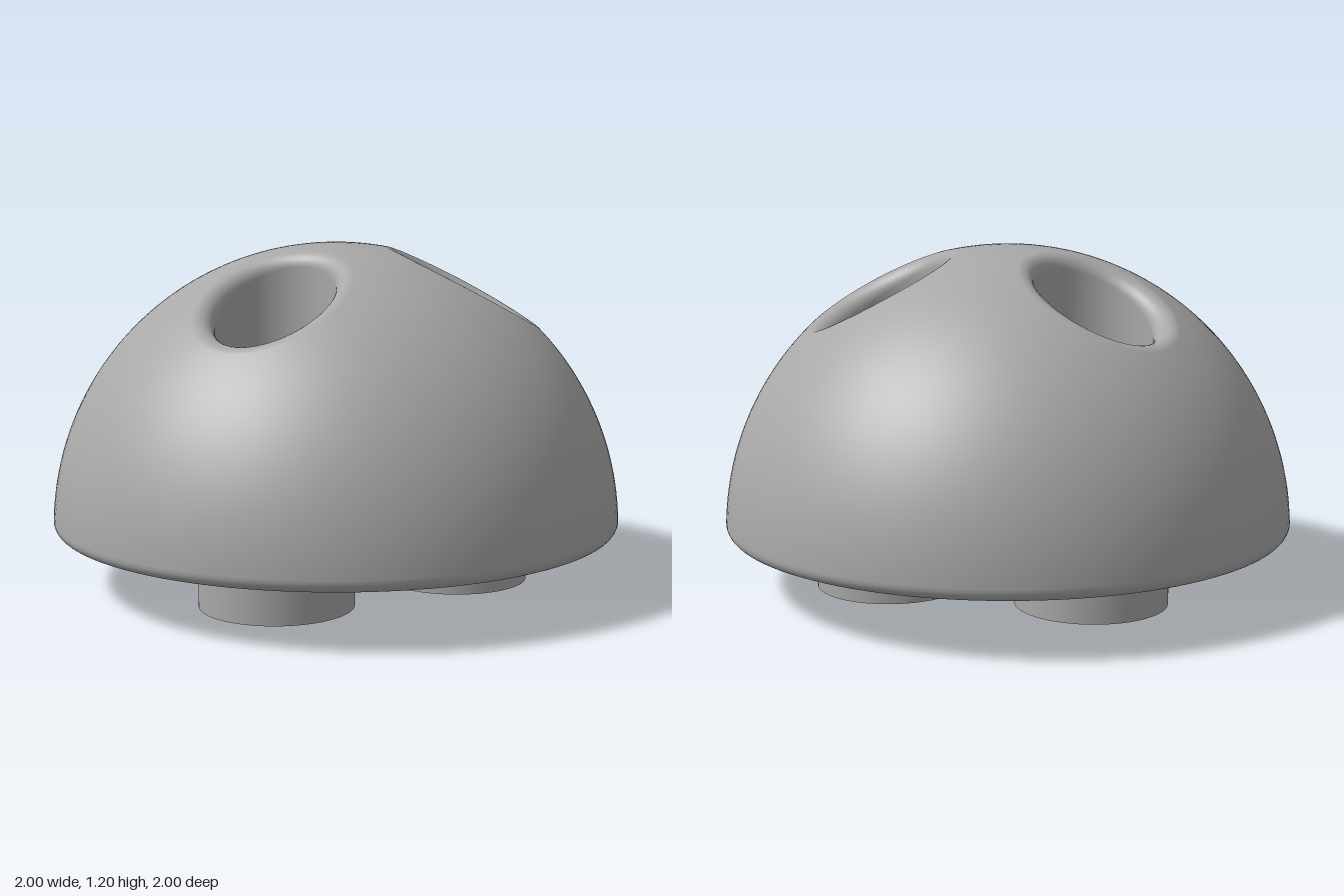
import * as THREE from 'three';

const BASE = 0.2;        // height of the dome's rim plane
const OUTER = 1, INNER = 0.947;
const BORE = 0.2, TUBE = 0.265, FLOOR = 0.06;
const FILLET = 0.055, RIM = 0.04;

// each socket: axis position and the start of its 120 degree share of the dome
const SOCKETS = [
  { name: 'front', x: 0, z: 0.43, start: Math.PI / 6 },
  { name: 'right', x: -0.367, z: -0.202, start: Math.PI * 5 / 6 },
  { name: 'left', x: 0.367, z: -0.202, start: -Math.PI / 2 },
];

const V = (x, y, z) => new THREE.Vector3(x, y, z);

// surface through rows of { p, n } (position and normal)
function grid(rows, flip = false) {
  const pos = [], nor = [], idx = [], w = rows[0].length;
  rows.forEach((row, i) => row.forEach(({ p, n }, j) => {
    pos.push(p.x, p.y, p.z);
    nor.push(n.x, n.y, n.z);
    if (i === rows.length - 1 || j === w - 1) return;
    const a = i * w + j, b = a + w, c = a + 1, d = b + 1;
    if (flip) idx.push(a, c, b, b, c, d);
    else idx.push(a, b, c, c, b, d);
  }));
  const g = new THREE.BufferGeometry();
  g.setAttribute('position', new THREE.Float32BufferAttribute(pos, 3));
  g.setAttribute('normal', new THREE.Float32BufferAttribute(nor, 3));
  g.setIndex(idx);
  return g;
}

// unfold a dome direction to a flat disc and back
function flatten(d) {
  const t = Math.acos(Math.min(1, d.y)), r = Math.hypot(d.x, d.z) || 1;
  return new THREE.Vector2(t * d.x / r, t * d.z / r);
}
function fold(f) {
  const t = f.length(), k = t > 1e-9 ? Math.sin(t) / t : 1;
  return V(f.x * k, Math.cos(t), f.y * k);
}

// outline of one third of the dome in flat coordinates
function wedge(start, tMax, n = 40) {
  const pts = [], polar = (t, a) => pts.push(new THREE.Vector2(t * Math.cos(a), t * Math.sin(a)));
  const end = start + Math.PI * 2 / 3;
  for (let i = 0; i < n; i++) polar(tMax * i / n, start);
  for (let i = 0; i < n; i++) polar(tMax, start + (end - start) * i / n);
  for (let i = n; i >= 0; i--) polar(tMax * i / n, end);
  return pts;
}

// rows of dome surface running from the wedge outline in to the socket's edge
function domeRows(s, R, tMax, edge, sign) {
  const outline = wedge(s.start, tMax);
  const mid = flatten(V(s.x, Math.sqrt(1 - s.x ** 2 - s.z ** 2), s.z));
  const angles = outline.map(b => Math.atan2(b.y - mid.y, b.x - mid.x));
  const rims = angles.map(a => flatten(edge(a)));
  const rows = [], N = 24;
  for (let i = 0; i <= N; i++) {
    rows.push(outline.map((b, j) => {
      const d = fold(b.clone().lerp(rims[j], i / N));
      return { p: d.clone().multiplyScalar(R).add(V(0, BASE, 0)), n: d.multiplyScalar(sign) };
    }));
  }
  return { rows, angles };
}

export function createModel() {
  const model = new THREE.Group();
  const grey = new THREE.MeshStandardMaterial({ color: 0xa8a8a8 });
  grey.name = 'grey plastic';
  const add = (parent, name, geo) => {
    const m = new THREE.Mesh(geo, grey);
    m.name = name;
    parent.add(m);
    return m;
  };

  for (const s of SOCKETS) {
    const group = new THREE.Group();
    group.name = s.name + 'Socket';
    model.add(group);

    // centre of the ball that rolls round the mouth and rounds it off
    const ball = a => {
      const x = s.x + (BORE + FILLET) * Math.cos(a), z = s.z + (BORE + FILLET) * Math.sin(a);
      return V(x, Math.sqrt((OUTER - FILLET) ** 2 - x * x - z * z), z);
    };

    // outer shell
    const tMax = Math.acos(RIM / (OUTER - RIM));
    const { rows, angles } = domeRows(s, OUTER, tMax, a => ball(a).normalize(), 1);
    add(group, 'outerShell', grid(rows));

    // rounded mouth
    const mouth = [];
    for (let i = 0; i <= 10; i++) {
      mouth.push(angles.map(a => {
        const c = ball(a), n0 = c.clone().normalize(), n1 = V(-Math.cos(a), 0, -Math.sin(a));
        const w = n0.angleTo(n1), t = i / 10;
        const n = n0.multiplyScalar(Math.sin((1 - t) * w)).addScaledVector(n1, Math.sin(t * w)).normalize();
        return { p: c.addScaledVector(n, FILLET).add(V(0, BASE, 0)), n };
      }));
    }
    add(group, 'roundedMouth', grid(mouth));

    // bore wall and floor
    const top = mouth[10];
    add(group, 'bore', grid([top, top.map(({ p, n }) => ({ p: V(p.x, FLOOR, p.z), n }))]));
    const floor = add(group, 'boreFloor', new THREE.CircleGeometry(BORE, 64).rotateX(-Math.PI / 2));
    floor.position.set(s.x, FLOOR, s.z);

    // inner shell, open where the tube meets it
    const tubeTop = a => {
      const x = s.x + TUBE * Math.cos(a), z = s.z + TUBE * Math.sin(a);
      return V(x, Math.sqrt(INNER ** 2 - x * x - z * z), z);
    };
    const inner = domeRows(s, INNER, Math.PI / 2, a => tubeTop(a).normalize(), -1);
    add(group, 'innerShell', grid(inner.rows, true));

    // tube hanging below the shell, with its closed end
    const wall = [1, 0].map(k => inner.angles.map(a => {
      const p = tubeTop(a);
      p.y = k * (p.y + BASE);
      return { p, n: V(Math.cos(a), 0, Math.sin(a)) };
    }));
    add(group, 'tube', grid(wall, true));
    const end = add(group, 'tubeEnd', new THREE.CircleGeometry(TUBE, 64).rotateX(Math.PI / 2));
    end.position.set(s.x, 0, s.z);
  }

  // rounded lower rim and its flat underside
  const rimR = Math.sqrt((OUTER - RIM) ** 2 - RIM ** 2);
  const rimTop = Math.asin(RIM / (OUTER - RIM));
  const arc = [];
  for (let i = 0; i <= 10; i++) {
    const a = -Math.PI / 2 + (Math.PI / 2 + rimTop) * i / 10;
    arc.push(new THREE.Vector2(rimR + RIM * Math.cos(a), BASE + RIM + RIM * Math.sin(a)));
  }
  add(model, 'roundedRim', new THREE.LatheGeometry(arc, 120));
  add(model, 'rimUnderside', new THREE.RingGeometry(INNER, rimR, 120).rotateX(Math.PI / 2)).position.y = BASE;

  // locking ridges inside the rim, each with a small stop
  const band = (from, to, r, y0, y1) => {
    const shape = new THREE.Shape();
    shape.absarc(0, 0, 0.945, from, to, false);
    shape.absarc(0, 0, r, to, from, true);
    return new THREE.ExtrudeGeometry(shape, { depth: y1 - y0, bevelEnabled: false, curveSegments: 24 })
      .rotateX(Math.PI / 2).translate(0, y1, 0);
  };
  const deg = Math.PI / 180;
  for (let i = 0; i < 3; i++) {
    const a = (49 + 120 * i) * deg;
    add(model, 'lockingRidge', band(a, a + 75 * deg, 0.928, 0.215, 0.235));
    add(model, 'ridgeStop', band(a + 56 * deg, a + 59 * deg, 0.928, 0.235, 0.275));
  }
  return model;
}
